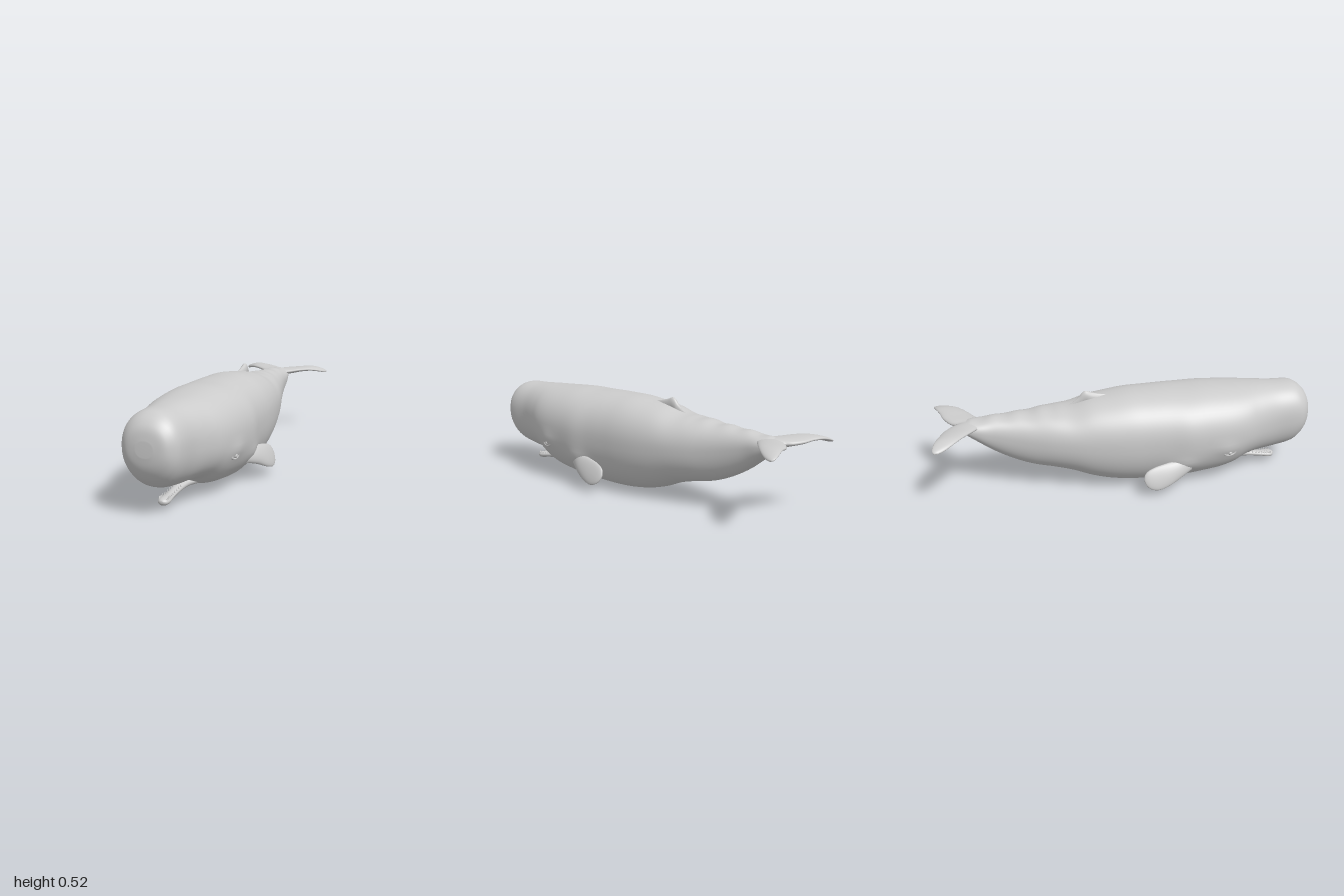
import * as THREE from 'three';

const grey = new THREE.MeshStandardMaterial({ color: 0xcccccc });
const V = (x, y, z) => new THREE.Vector3(x, y, z);

// Catmull-Rom resampling of every column of a table of stations
function smooth(rows, k) {
  const at = i => rows[Math.min(Math.max(i, 0), rows.length - 1)];
  const out = [];
  for (let i = 0; i < rows.length - 1; i++) {
    for (let s = 0; s < k; s++) {
      const t = s / k;
      out.push(rows[i].map((b, c) => {
        const a = at(i - 1)[c], d = at(i + 1)[c], e = at(i + 2)[c];
        return b + 0.5 * t * (d - a + t * (2 * a - 5 * b + 4 * d - e + t * (3 * (b - d) + e - a)));
      }));
    }
  }
  out.push(rows[rows.length - 1]);
  return out;
}

// Elliptical ring around a centre, spanned by two half axes
function ring(centre, u, v, n = 24) {
  return Array.from({ length: n }, (_, j) => {
    const t = (j / n) * Math.PI * 2;
    return centre.clone().addScaledVector(u, Math.cos(t)).addScaledVector(v, Math.sin(t));
  });
}

// Closed skin through rings of equal count, always facing outwards
function loft(rings) {
  const n = rings[0].length, pts = rings.flat(), idx = [];
  for (let i = 0; i < rings.length - 1; i++) {
    for (let j = 0; j < n; j++) {
      const a = i * n + j, b = i * n + (j + 1) % n;
      idx.push(a, a + n, b, b, a + n, b + n);
    }
  }
  [0, rings.length - 1].forEach(r => {
    const mid = rings[r].reduce((s, p) => s.add(p), V(0, 0, 0)).divideScalar(n);
    const m = pts.push(mid) - 1;
    for (let j = 0; j < n; j++) {
      const a = r * n + j, b = r * n + (j + 1) % n;
      r === 0 ? idx.push(m, a, b) : idx.push(m, b, a);
    }
  });
  let volume = 0;
  const o = pts[0], d = i => pts[i].clone().sub(o);
  for (let i = 0; i < idx.length; i += 3) volume += d(idx[i]).dot(d(idx[i + 1]).cross(d(idx[i + 2])));
  if (volume < 0) idx.reverse();
  const g = new THREE.BufferGeometry().setFromPoints(pts);
  g.setIndex(idx);
  g.computeVertexNormals();
  return g;
}

// Body: z, top, bottom, half width, height of the widest point
function bodyGeometry() {
  const front = [
    [1.0, 0.36, 0.29, 0.04, 0.325], [0.992, 0.405, 0.245, 0.085, 0.325],
    [0.975, 0.437, 0.205, 0.113, 0.32], [0.945, 0.464, 0.165, 0.136, 0.32],
    [0.9, 0.482, 0.132, 0.146, 0.32], [0.8, 0.485, 0.112, 0.157, 0.315],
    [0.7, 0.491, 0.106, 0.188, 0.3], [0.63, 0.494, 0.094, 0.215, 0.29],
    [0.57, 0.497, 0.06, 0.23, 0.285], [0.5, 0.501, 0.036, 0.24, 0.28],
    [0.4, 0.505, 0.02, 0.247, 0.28], [0.3, 0.503, 0.008, 0.25, 0.28],
    [0.2, 0.505, 0.003, 0.238, 0.28], [0.1, 0.504, 0.0, 0.231, 0.28],
  ];
  const back = [
    [0, 0.502, 0.005, 0.226, 0.28], [-0.1, 0.49, 0.019, 0.216, 0.28],
    [-0.2, 0.475, 0.046, 0.2, 0.28], [-0.3, 0.446, 0.086, 0.18, 0.285],
    [-0.4, 0.44, 0.112, 0.155, 0.29], [-0.5, 0.428, 0.132, 0.126, 0.3],
    [-0.6, 0.421, 0.17, 0.1, 0.315], [-0.7, 0.414, 0.226, 0.08, 0.335],
    [-0.78, 0.405, 0.287, 0.072, 0.355], [-0.84, 0.396, 0.334, 0.055, 0.37],
    [-0.88, 0.386, 0.362, 0.02, 0.375],
  ];
  const n = 64, soft = v => Math.sign(v) * Math.abs(v) ** 0.9;
  return loft(smooth([...front, ...back], 5).map(([z, top, bottom, w, mid]) =>
    Array.from({ length: n }, (_, j) => {
      const t = (j / n) * Math.PI * 2, c = soft(Math.cos(t)), s = soft(Math.sin(t));
      const y = mid + s * (s > 0 ? top - mid : mid - bottom);
      // low knuckles along the back of the tail
      const knuckle = z < -0.36 && z > -0.82 && s > 0 ? 0.004 * s ** 8 * Math.sin(z * 52) : 0;
      // swelling around the eye and the shoulder
      const swell = 0.008 * Math.exp(-(((z - 0.5) / 0.06) ** 2) - ((y - 0.225) / 0.035) ** 2)
        + 0.012 * Math.exp(-(((z - 0.27) / 0.07) ** 2) - ((y - 0.15) / 0.04) ** 2);
      return V(w * c + Math.sign(c) * swell, y + knuckle, z);
    })));
}

// Lower jaw: z, centre height, half width, half height
const jawRows = [
  [0.845, 0.043, 0.008, 0.006], [0.835, 0.041, 0.022, 0.015], [0.81, 0.042, 0.029, 0.018],
  [0.76, 0.048, 0.024, 0.014], [0.68, 0.06, 0.025, 0.017], [0.61, 0.069, 0.036, 0.022],
  [0.565, 0.073, 0.065, 0.025], [0.5, 0.076, 0.1, 0.03],
];

// Flipper: centre x, y, z, half chord, half thickness
const flipperRows = [
  [0.195, 0.145, 0.31, 0.04, 0.022], [0.228, 0.135, 0.25, 0.048, 0.022],
  [0.25, 0.117, 0.18, 0.06, 0.018], [0.26, 0.104, 0.12, 0.062, 0.014],
  [0.262, 0.1, 0.08, 0.05, 0.011], [0.261, 0.1, 0.058, 0.03, 0.007],
  [0.26, 0.1, 0.05, 0.006, 0.003],
];

// Half of the flukes: x, leading z, trailing z, height, half thickness
const flukeRows = [
  [0, -0.74, -0.885, 0.376, 0.022], [0.03, -0.755, -0.918, 0.378, 0.021],
  [0.08, -0.79, -0.95, 0.383, 0.018], [0.13, -0.828, -0.966, 0.389, 0.015],
  [0.18, -0.868, -0.986, 0.39, 0.013], [0.22, -0.908, -0.998, 0.382, 0.011],
  [0.248, -0.945, -1.0, 0.372, 0.009], [0.26, -0.972, -0.99, 0.367, 0.004],
];

// Dorsal fin: z, crest height, half width at the base
const finRows = [
  [-0.08, 0.488, 0.004], [-0.13, 0.493, 0.014], [-0.18, 0.506, 0.018], [-0.21, 0.517, 0.017],
  [-0.23, 0.508, 0.015], [-0.25, 0.484, 0.013], [-0.29, 0.452, 0.008], [-0.32, 0.44, 0.003],
];

export function createModel() {
  const model = new THREE.Group();
  const add = (name, geometry, parent = model) => {
    const mesh = new THREE.Mesh(geometry, grey);
    mesh.name = name;
    parent.add(mesh);
    return mesh;
  };

  add('body', bodyGeometry());
  const jaw = smooth(jawRows, 4);
  add('lowerJaw', loft(jaw.map(([z, y, w, h]) => ring(V(0, y, z), V(w, 0, 0), V(0, h, 0)))));

  const left = flukeRows.slice(1);
  const flukes = [...left.map(([x, ...r]) => [-x, ...r]).reverse(), ...flukeRows];
  add('flukes', loft(smooth(flukes, 4).map(([x, a, b, y, t]) =>
    ring(V(x, y, (a + b) / 2), V(0, 0, (a - b) / 2), V(0, t, 0)))));

  add('dorsalFin', loft(smooth(finRows, 4).map(([z, y, w]) =>
    ring(V(0, y - 0.035, z), V(w, 0, 0), V(0, 0.035, 0), 16))));

  const teeth = new THREE.Group();
  teeth.name = 'teeth';
  model.add(teeth);

  for (const side of [1, -1]) {
    const label = side > 0 ? 'left' : 'right';
    add(label + 'Flipper', loft(smooth(flipperRows, 4).map(([x, y, z, chord, t]) =>
      ring(V(side * x, y, z), V(side * 0.35, -0.93, 0.1).multiplyScalar(chord),
        V(side * 0.93, 0.35, 0.1).multiplyScalar(t)))));

    // eye with a heavy lid around it
    const eye = new THREE.Group();
    eye.name = label + 'Eye';
    eye.position.set(side * 0.226, 0.2, 0.515);
    eye.rotation.y = side * (Math.PI / 2 - 0.15);
    model.add(eye);
    add('eyeball', new THREE.SphereGeometry(0.013, 20, 14), eye);
    const lid = add('eyelid', new THREE.TorusGeometry(0.02, 0.006, 10, 28), eye);
    lid.scale.set(1.5, 0.8, 1);

    // row of teeth on the jaw edge
    for (let i = 0; i < 11; i++) {
      const [z, y, w, h] = jaw[6 + i];
      const tooth = add('tooth', new THREE.ConeGeometry(0.004, 0.016, 8), teeth);
      tooth.position.set(side * w * 0.75, y + h * 0.65 + 0.006, z);
    }
  }
  return model;
}
